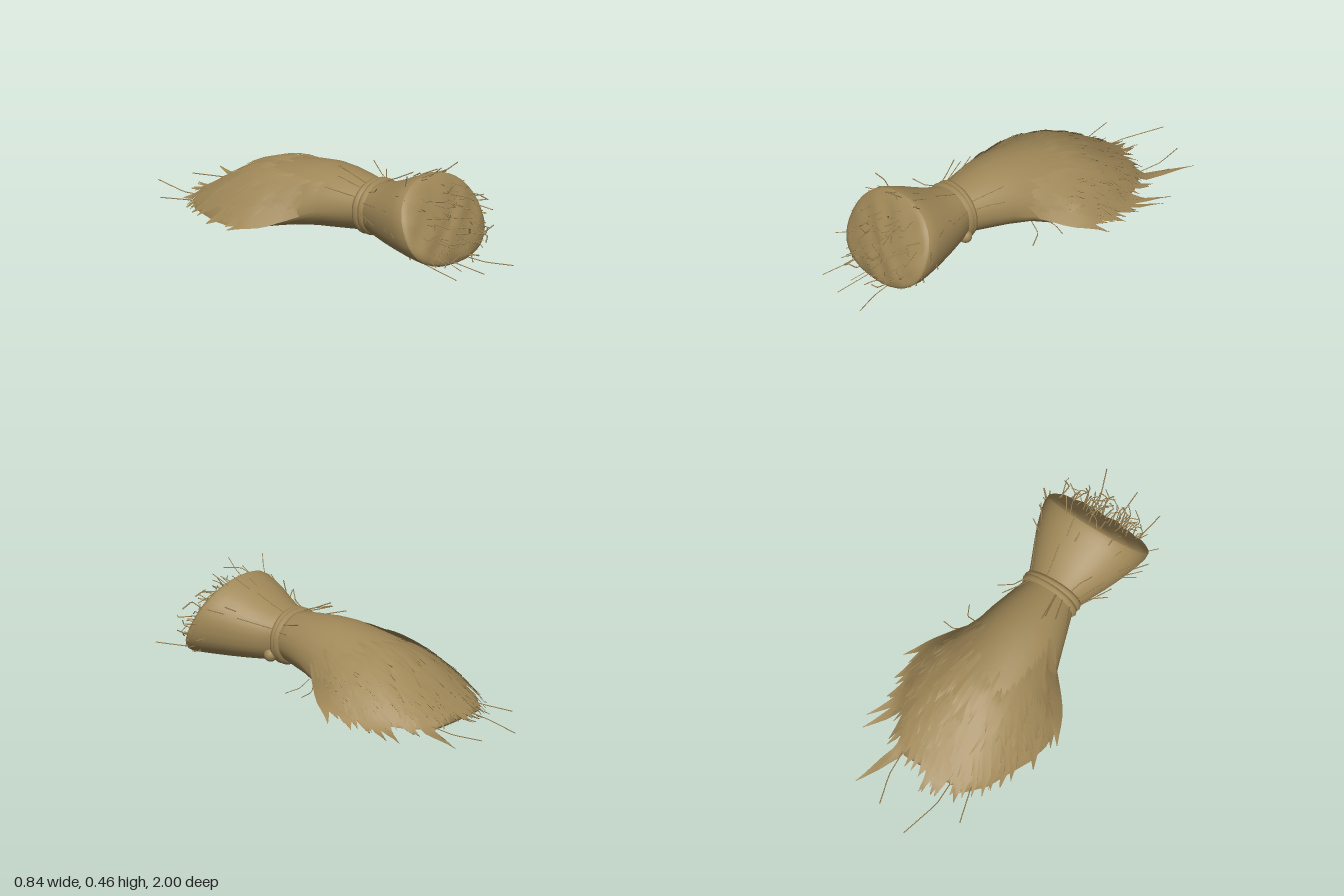
import * as THREE from 'three';
import { mergeGeometries } from 'three/addons/utils/BufferGeometryUtils.js';

const V = (x, y, z) => new THREE.Vector3(x, y, z);
const SEG = 36;

// Seeded random number between a and b
let seed = 7;
function rnd(a = 0, b = 1) {
  seed = (seed * 16807) % 2147483647;
  return a + (b - a) * (seed / 2147483647);
}

// Cross-sections: z, half width, bottom, top, height of the widest point, skirt
const TAIL = [
  [-0.74, 0.09, 0.024, 0.042, 0.03, 0], [-0.68, 0.17, 0.025, 0.08, 0.034, 0.01],
  [-0.6, 0.235, 0.027, 0.13, 0.038, 0.025], [-0.5, 0.27, 0.032, 0.197, 0.043, 0.04],
  [-0.4, 0.285, 0.038, 0.253, 0.05, 0.06], [-0.3, 0.285, 0.045, 0.293, 0.058, 0.085],
  [-0.2, 0.275, 0.052, 0.318, 0.068, 0.09], [-0.1, 0.25, 0.055, 0.335, 0.095, 0.045],
  [0, 0.22, 0.057, 0.343, 0.14, 0.005], [0.1, 0.193, 0.062, 0.339, 0.175, 0],
  [0.2, 0.16, 0.071, 0.328, 0.19, 0], [0.3, 0.126, 0.084, 0.31, 0.2, 0],
];
const HEAD = [
  [0.3, 0.126, 0.084, 0.31, 0.2, 0], [0.38, 0.161, 0.071, 0.325, 0.195, 0],
  [0.46, 0.197, 0.059, 0.349, 0.195, 0], [0.54, 0.23, 0.048, 0.378, 0.2, 0],
  [0.62, 0.256, 0.038, 0.403, 0.2, 0], [0.67, 0.267, 0.032, 0.417, 0.2, 0],
  [0.7, 0.265, 0.03, 0.42, 0.2, 0],
];

// Ring of points round a section; slant leans it, power squares its lower half
function ring([z, w, bottom, top, mid, skirt], slant = 0, power = 1, scale = 1) {
  return Array.from({ length: SEG }, (_, j) => {
    const a = (j / SEG) * Math.PI * 2;
    const bend = (v) => Math.sign(v) * Math.abs(v) ** (a > Math.PI ? power : (1 + power) / 2);
    const s = bend(Math.sin(a));
    const y = mid + s * scale * (s > 0 ? top - mid : mid - bottom);
    const wide = w + skirt * (1 - Math.max(s, 0)) ** 2;
    return V(wide * scale * bend(Math.cos(a)), y, z + slant * (mid - y));
  });
}

// Skin over rings listed from back to front
function loft(rings) {
  const index = [];
  for (let i = 0; i < rings.length - 1; i++) {
    for (let j = 0; j < SEG; j++) {
      const k = (j + 1) % SEG, a = i * SEG, b = a + SEG;
      index.push(a + j, a + k, b + j, a + k, b + k, b + j);
    }
  }
  const g = new THREE.BufferGeometry().setFromPoints(rings.flat());
  g.setIndex(index);
  g.computeVertexNormals();
  return g;
}

// Height of the tail's upper surface, drooping beyond its skirt
function tailHeight(x, z) {
  const zc = THREE.MathUtils.clamp(z, -0.739, 0.299);
  const i = TAIL.findIndex((s) => s[0] > zc);
  const [p, q] = [TAIL[i - 1], TAIL[i]];
  const t = (zc - p[0]) / (q[0] - p[0]);
  const [, w, , top, mid, skirt] = p.map((v, n) => v + (q[n] - v) * t);
  const over = Math.abs(x) - w - skirt;
  if (over > 0) return Math.max(mid - over * 0.5, 0.022);
  let low = 0, high = 1;
  for (let n = 0; n < 14; n++) {
    const s = (low + high) / 2;
    if (Math.sqrt(1 - s * s) * (w + skirt * (1 - s) ** 2) > Math.abs(x)) low = s;
    else high = s;
  }
  return mid + (top - mid) * low;
}

// Pointed leaf lying on the tail, running outward from the tie
function blade(angle, start, end, width, lift, twist) {
  const pts = [], index = [], n = 7;
  for (let i = 0; i <= n; i++) {
    const t = i / n, r = start + (end - start) * t, a = angle + twist * t * t;
    const half = (width / 2) * (i === n ? 0.03 : Math.min(1, 0.45 + t * 1.5, (1 - t) * 2.6));
    for (const s of [-1, 1]) {
      const x = Math.sin(a) * r + s * half * Math.cos(a);
      const z = 0.3 - Math.cos(a) * r + s * half * Math.sin(a);
      const rise = -0.006 + 0.012 * Math.min(1, t * 3) + lift * t;
      pts.push(V(x, tailHeight(x, z) + rise + s * 0.002, z));
    }
    if (i < n) {
      const k = i * 2;
      index.push(k, k + 1, k + 2, k + 1, k + 3, k + 2);
    }
  }
  const g = new THREE.BufferGeometry().setFromPoints(pts);
  g.setIndex(index);
  g.computeVertexNormals();
  return g;
}

// Thin stalk through a few points, with sharp bends
function stalk(points, radius = 0.003) {
  const path = new THREE.CurvePath();
  for (let i = 1; i < points.length; i++) path.add(new THREE.LineCurve3(points[i - 1], points[i]));
  return new THREE.TubeGeometry(path, points.length * 3, radius, 4).deleteAttribute('uv');
}

export function createModel() {
  seed = 7;
  const model = new THREE.Group();
  const straw = new THREE.MeshStandardMaterial({ color: 0xa08858 });
  const strawBlade = new THREE.MeshStandardMaterial({ color: 0xa08858, side: THREE.DoubleSide });
  const add = (name, geometry, material = straw) => {
    const mesh = new THREE.Mesh(geometry, material);
    mesh.name = name;
    model.add(mesh);
    return mesh;
  };

  // Spreading tail with a skirt, tucked in slightly under the leaves at its closed end
  const tuck = (z) => (z < -0.45 ? 0.93 : z < -0.05 ? 0.98 : 1);
  add('tail', loft([ring(TAIL[1], 0, 1, 0), ...TAIL.slice(1).map((s) => ring(s, 0, 1, tuck(s[0])))]));

  // Flared head with its leaning, bulging cut face
  const lean = (z) => ((z - 0.3) / 0.4) * 0.44;
  const bulge = (r) => 0.045 * Math.sqrt(Math.max(0, 1 - r ** 2.5));
  add('head', loft(HEAD.map((s) => ring(s, lean(s[0]), 0.85))));
  const rim = HEAD[HEAD.length - 1];
  const face = [1, 0.98, 0.92, 0.82, 0.68, 0.5, 0.3, 0.15, 0].map((scale) => {
    const pts = ring(rim, lean(0.7), 0.85, scale);
    pts.forEach((p) => {
      const bump = 0.008 * Math.sin(p.x * 37) * Math.sin(p.y * 41);
      p.z += bulge(scale) + bump * Math.min(1, (1 - scale) * 5);
    });
    return pts;
  });
  add('cutFace', loft(face));

  // Tie: two fat rope turns and a knot
  [[0.288, 0.04], [0.312, -0.03]].forEach(([z, tilt]) => {
    const loop = ring([z, 0.129, 0.086, 0.31, 0.2, 0], 0, 0.88);
    loop.forEach((p) => { p.z += p.x * tilt; });
    add('tie', new THREE.TubeGeometry(new THREE.CatmullRomCurve3(loop, true), 56, 0.02, 8, true));
  });
  const knot = add('knot', new THREE.SphereGeometry(0.032, 12, 8));
  knot.position.set(0.122, 0.13, 0.335);

  // Overlapping leaves: a broad ragged edge, then finer ones above
  const blades = [];
  const edge = (a) => 1.07 - 0.4 * (Math.abs(a) / 0.62) ** 1.2 + (a > 0.2 ? 0.04 : 0);
  for (let i = 0; i < 110; i++) {
    const a = -0.6 + (1.2 * (i % 55)) / 54 + rnd(-0.02, 0.02);
    const end = edge(a) * rnd(0.9, 1.05);
    blades.push(blade(a, end - rnd(0.3, 0.42), end, rnd(0.055, 0.085), rnd(0, 0.006), rnd(-0.04, 0.04)));
  }
  for (let i = 0; i < 90; i++) {
    const a = rnd(-0.6, 0.6);
    const end = edge(a) * rnd(0.7, 0.95);
    blades.push(blade(a, end - rnd(0.18, 0.3), end, rnd(0.02, 0.045), rnd(0.002, 0.014), rnd(-0.06, 0.06)));
  }
  [[0.2, 1.24], [0.175, 1.13], [0.36, 1.05], [-0.02, 1.1], [0.4, 1.0], [-0.3, 0.95]].forEach(([a, end]) =>
    blades.push(blade(a, end - 0.4, end, 0.045, 0.008, 0.03)));
  add('tailBlades', mergeGeometries(blades), strawBlade);

  // Loose stalks poking out of the cut face
  const stalks = [];
  for (let i = 0; i < 48; i++) {
    const a = rnd(0, Math.PI * 2), r = Math.sqrt(rnd(0.02, 0.95));
    const x = Math.cos(a) * r * 0.25;
    const y = 0.21 + Math.sin(a) * r * 0.18;
    const p = V(x, y, 0.69 + 0.44 * (0.2 - y) + bulge(r));
    const len = rnd(0.03, 0.1);
    const q = p.clone().add(V(rnd(-0.35, 0.35) * len, rnd(-0.35, 0.3) * len, len));
    const e = q.clone().add(V(rnd(-0.045, 0.045), rnd(-0.04, 0.04), rnd(0, 0.03)));
    e.y = Math.max(e.y, 0.02);
    stalks.push(stalk([p, q, e], rnd(0.002, 0.0035)));
  }

  // Stalks fanning out round the rim of the head
  for (let i = 0; i < 44; i++) {
    const a = rnd(0, Math.PI * 2), c = Math.cos(a), s = Math.sin(a);
    const p = V(c * 0.24, 0.21 + s * (s > 0 ? 0.18 : 0.165), 0.62 - 0.09 * s + rnd(-0.08, 0.06));
    const len = rnd(0.04, 0.09);
    const q = p.clone().add(V(c * len * 0.8, s * len * (s > 0 ? 0.6 : 0.25), len * rnd(0.3, 1.4)));
    stalks.push(stalk([p, q], rnd(0.002, 0.003)));
  }

  // Stalks lying along the waist
  for (let i = 0; i < 12; i++) {
    const a = rnd(-0.3, Math.PI + 0.3), dir = i % 2 ? 1 : -1;
    const at = (r, z) => V(Math.cos(a) * r * 1.2, 0.2 + Math.sin(a) * r, z);
    stalks.push(stalk([at(0.11, 0.3), at(0.145, 0.3 + dir * 0.08), at(rnd(0.17, 0.2), 0.3 + dir * rnd(0.12, 0.18))], 0.0025));
  }

  // Longest stray stalks at both ends, on top and at the side
  [
    [[-0.09, 0.05, -0.62], [-0.09, 0.035, -0.8], [-0.04, 0.035, -1]],
    [[0.18, 0.06, -0.6], [0.17, 0.04, -0.8], [0.13, 0.035, -0.94]],
    [[-0.16, 0.06, -0.58], [-0.19, 0.05, -0.68], [-0.23, 0.04, -0.82]],
    [[0.08, 0.04, 0.74], [0.1, 0.03, 0.87], [0.15, 0.03, 1]],
    [[-0.03, 0.05, 0.74], [-0.03, 0.03, 0.98]],
    [[-0.15, 0.05, 0.72], [-0.18, 0.03, 0.94]],
    [[-0.13, 0.38, 0.58], [-0.14, 0.43, 0.6], [-0.17, 0.465, 0.63]],
    [[0, 0.4, 0.6], [0.002, 0.44, 0.65], [-0.01, 0.478, 0.7]],
    [[-0.05, 0.41, 0.6], [-0.03, 0.435, 0.64], [0.05, 0.45, 0.68]],
    [[0.11, 0.4, 0.6], [0.15, 0.455, 0.66]],
    [[0.22, 0.12, 0.02], [0.28, 0.09, 0.03], [0.31, 0.06, 0.09]],
    [[0.22, 0.14, -0.02], [0.3, 0.1, -0.06], [0.36, 0.09, -0.05]],
  ].forEach((pts) => stalks.push(stalk(pts.map((p) => V(...p)), 0.0025)));
  add('looseStalks', mergeGeometries(stalks));

  return model;
}
